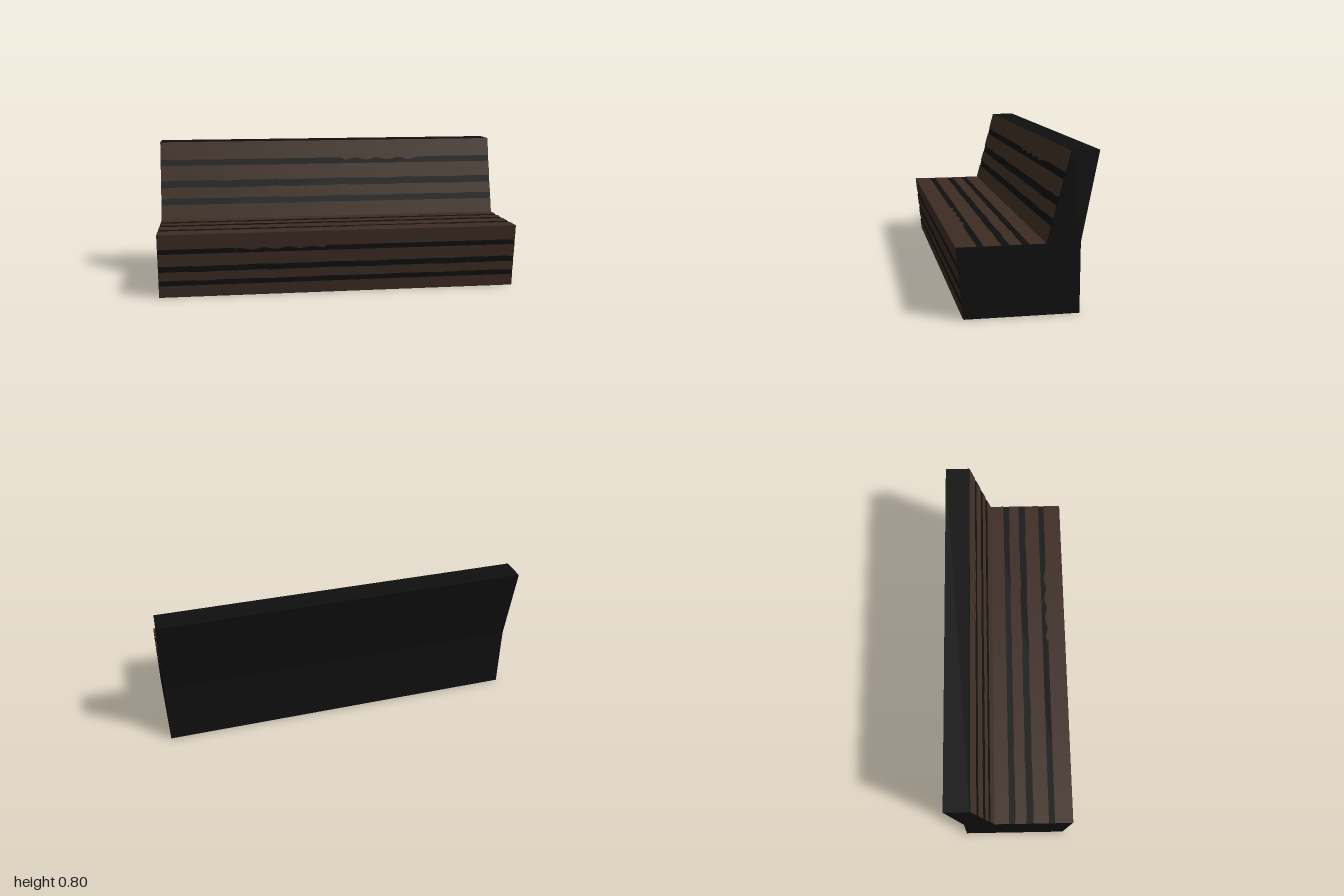
import * as THREE from 'three';

const black = new THREE.MeshStandardMaterial({ name: 'blackShell', color: 0x0f0f0f });
const brown = new THREE.MeshStandardMaterial({ name: 'brownFabric', color: 0x413126 });
const redBrown = new THREE.MeshStandardMaterial({ name: 'redBrownFabric', color: 0x3d2c24 });

const INSET = 0.003; // depth of the shell behind the fabric

// Edges of the fabric bands, as fractions across a panel; the gaps are the dark stripes
const BANDS = [[0, 0.185], [0.265, 0.405], [0.495, 0.69], [0.768, 1]];

// Slightly ragged outline of each dark stripe along the length of the bench
function ragged(t, u) {
  if (t === 0 || t === 1) return t;
  if (t === 0.768) return u > 0.08 && u < 0.6 ? t - 0.02 + 0.016 * Math.sin(u * 48) : t;
  if (t === 0.185 || t === 0.69) return t;
  return t + 0.006 * Math.sin(u * 23) * Math.sin(u * 9 + 1);
}

// One fabric band between two [z, y] edges. dir is the order of the columns,
// so the band faces outward; mirror flips the pattern along x.
function fabricBand(from, to, [t0, t1], dir, mirror) {
  const n = 80, pos = [], index = [];
  for (let i = 0; i <= n; i++) {
    const x = dir * (-1 + (2 * i) / n);
    for (const t of [t0, t1]) {
      const k = ragged(t, x * mirror);
      pos.push(x, from[1] + (to[1] - from[1]) * k, from[0] + (to[0] - from[0]) * k);
    }
    if (i < n) {
      const a = i * 2;
      index.push(a, a + 2, a + 3, a, a + 3, a + 1);
    }
  }
  const geo = new THREE.BufferGeometry();
  geo.setAttribute('position', new THREE.Float32BufferAttribute(pos, 3));
  geo.setIndex(index);
  geo.computeVertexNormals();
  return geo;
}

function stripedPanel(name, from, to, material, dir = 1, mirror = 1) {
  const panel = new THREE.Group();
  panel.name = name;
  BANDS.forEach((band, i) => {
    const mesh = new THREE.Mesh(fabricBand(from, to, band, dir, mirror), material);
    mesh.name = `${name}Band${i + 1}`;
    panel.add(mesh);
  });
  return panel;
}

export function createModel() {
  const bench = new THREE.Group();
  bench.name = 'bench';

  // Solid shell: side profile in (z, y), extruded along x
  const profile = [
    [0.31 - INSET, INSET], [0.346 - INSET, 0.357 - INSET], [-0.09 - INSET, 0.357 - INSET],
    [-0.206 - INSET, 0.8], [-0.345, 0.8], [-0.26, 0.357], [-0.26, INSET],
  ];
  const shape = new THREE.Shape(profile.map(([z, y]) => new THREE.Vector2(-z, y)));
  const shellGeo = new THREE.ExtrudeGeometry(shape, { depth: 2, bevelEnabled: false });
  shellGeo.translate(0, 0, -1).rotateY(Math.PI / 2);
  const shell = new THREE.Mesh(shellGeo, black);
  shell.name = 'shell';
  bench.add(shell);

  // Striped upholstery
  bench.add(stripedPanel('backrest', [-0.09, 0.357], [-0.206, 0.8], brown));
  bench.add(stripedPanel('seat', [-0.09, 0.357], [0.346, 0.357], redBrown, -1));
  bench.add(stripedPanel('frontPanel', [0.31, 0], [0.346, 0.357], redBrown, 1, -1));

  // Slanted fabric strips underneath: x limits at the front edge, then at the back edge
  const strips = [
    [1, 0.62, 1, 0.74], [0.52, 0.4, 0.64, 0.5],
    [0.26, 0.16, 0.37, 0.21], [0.06, -0.16, 0.11, -0.12],
  ];
  strips.forEach(([f0, f1, b0, b1], i) => {
    const s = new THREE.Shape([[f0, 0.31], [f1, 0.31], [b1, -0.26], [b0, -0.26]]
      .map(([x, z]) => new THREE.Vector2(x, z)));
    const strip = new THREE.Mesh(new THREE.ShapeGeometry(s).rotateX(Math.PI / 2), brown);
    strip.geometry.computeVertexNormals();
    strip.name = `undersideStrip${i + 1}`;
    bench.add(strip);
  });

  return bench;
}
